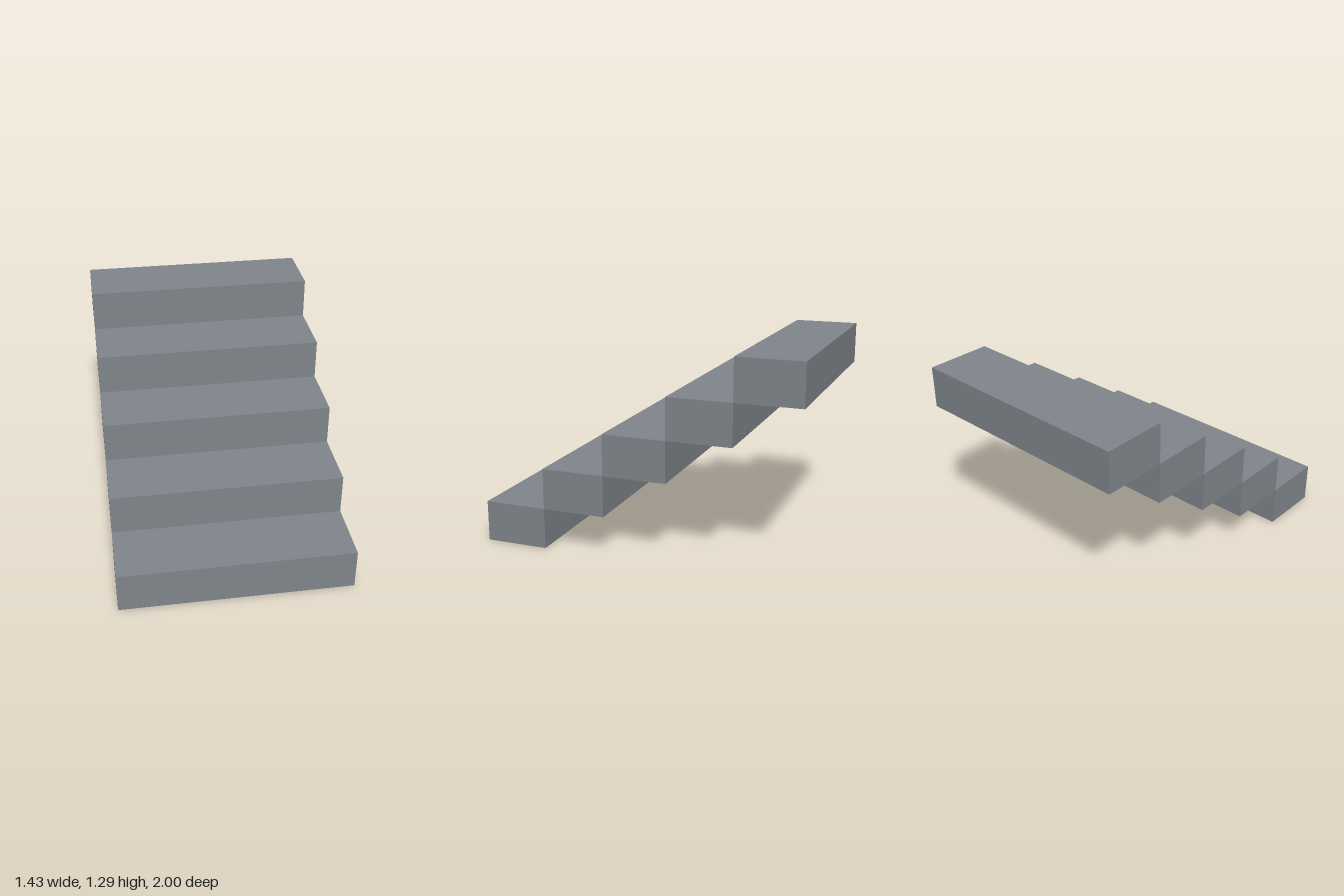
import * as THREE from 'three';

const STEPS = 5;
const WIDTH = 1.4286;
const RISE = 0.2571;
const RUN = 0.4;

export function createModel() {
  const group = new THREE.Group();
  group.name = 'staircase';

  const stone = new THREE.MeshStandardMaterial({ color: 0x7f858b });
  stone.name = 'stone grey';

  // Identical blocks climbing from the front (+z) to the back, touching edge to edge
  const block = new THREE.BoxGeometry(WIDTH, RISE, RUN);
  for (let i = 0; i < STEPS; i++) {
    const step = new THREE.Mesh(block, stone);
    step.name = `step${i + 1}`;
    step.position.set(0, (i + 0.5) * RISE, ((STEPS - 1) / 2 - i) * RUN);
    group.add(step);
  }
  return group;
}
